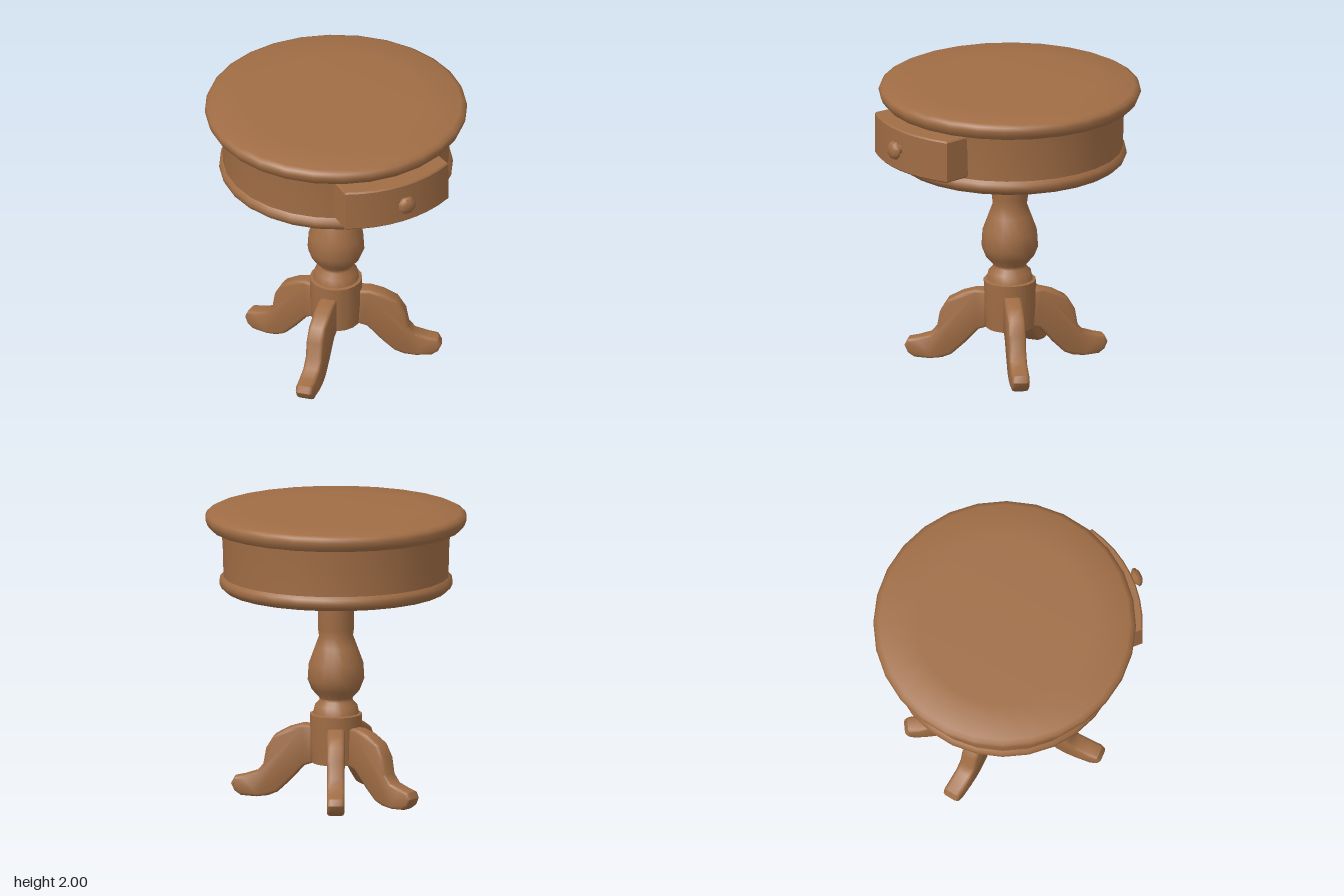
import * as THREE from 'three';
import { toCreasedNormals } from 'three/addons/utils/BufferGeometryUtils.js';

const CX = 0.008, CZ = -0.067; // axis of the table
const V = (p) => p.map(([x, y]) => new THREE.Vector2(x, y));

export function createModel() {
  const wood = new THREE.MeshStandardMaterial({ color: 0xa06d45 });
  wood.name = 'brown wood';
  const table = new THREE.Group();
  table.name = 'drumTable';
  const body = new THREE.Group();
  body.name = 'tableBody';
  body.position.set(CX, 0, CZ);
  table.add(body);

  const add = (parent, name, geometry, crease = 0.75) => {
    const mesh = new THREE.Mesh(toCreasedNormals(geometry, crease), wood);
    mesh.name = name;
    parent.add(mesh);
    return mesh;
  };
  const turned = (points, sides) =>
    new THREE.LatheGeometry(V(points), sides, Math.PI / sides);

  // Round top with a rounded lip
  add(body, 'tableTop', turned([
    [0, 1.88], [0.855, 1.88], [0.875, 1.905], [0.89, 1.945], [0.88, 1.972],
    [0.85, 1.988], [0.6, 1.994], [0, 2.0],
  ], 28));

  // Slightly hollow drum and its bottom moulding
  add(body, 'drum', turned([
    [0.767, 1.5], [0.768, 1.6], [0.772, 1.75], [0.78, 1.885],
  ], 28));
  add(body, 'drumMoulding', turned([
    [0, 1.45], [0.752, 1.45], [0.78, 1.472], [0.793, 1.5],
    [0.788, 1.53], [0.768, 1.55],
  ], 28));

  // Turned column
  add(body, 'column', turned([
    [0, 0.255], [0.165, 0.255], [0.175, 0.4], [0.178, 0.59], [0.157, 0.595],
    [0.145, 0.65], [0.115, 0.682], [0.112, 0.7], [0.165, 0.76], [0.193, 0.83],
    [0.186, 0.94], [0.142, 1.06], [0.116, 1.13], [0.123, 1.18], [0.123, 1.46],
  ], 18), 0.9);

  // Four curved legs, splayed wider at the front
  const outline = V([
    [0.15, 0.25], [0.21, 0.23], [0.31, 0.12], [0.395, 0.04], [0.46, 0.012],
    [0.54, 0], [0.65, 0.005], [0.695, 0.035], [0.718, 0.085], [0.695, 0.13],
    [0.63, 0.145], [0.54, 0.175], [0.495, 0.23], [0.475, 0.34], [0.42, 0.43],
    [0.32, 0.485], [0.23, 0.512], [0.15, 0.512],
  ]);
  const legGeometry = new THREE.ExtrudeGeometry(new THREE.Shape(outline), {
    depth: 0.07, bevelEnabled: true, bevelThickness: 0.025,
    bevelSize: 0.02, bevelOffset: -0.02, bevelSegments: 2,
  });
  legGeometry.translate(0, 0, -0.035);
  const legs = [['frontLeg', 0.925, 1], ['backLeg', Math.PI - 0.45, 0.95]];
  for (const [name, angle, reach] of legs) {
    for (const side of [1, -1]) {
      const leg = add(body, name, legGeometry, 0.8);
      leg.rotation.y = side * angle - Math.PI / 2;
      leg.scale.x = reach;
    }
  }

  // Bow-fronted drawer, pulled out a little and off centre
  const drawer = new THREE.Group();
  drawer.name = 'drawer';
  drawer.rotation.y = -0.1;
  body.add(drawer);
  const plan = [[-0.385, 0.6], [0.385, 0.6]];
  for (let i = 0; i <= 8; i++) {
    const x = 0.4 - 0.1 * i;
    plan.push([x, 0.095 + Math.sqrt(0.85 ** 2 - x * x)]);
  }
  const box = new THREE.ExtrudeGeometry(new THREE.Shape(V(plan)), {
    depth: 0.275, bevelEnabled: true, bevelThickness: 0.01,
    bevelSize: 0.01, bevelOffset: -0.01, bevelSegments: 1,
  });
  box.rotateX(Math.PI / 2);
  box.translate(0, 1.845, 0);
  add(drawer, 'drawerBox', box, 0.5);

  // Knob on the drawer front
  const knob = turned([
    [0.035, 0], [0.033, 0.025], [0.066, 0.05], [0.06, 0.07], [0.035, 0.086], [0, 0.088],
  ], 8);
  knob.rotateX(Math.PI / 2);
  add(drawer, 'knob', knob, 0.9).position.set(0, 1.718, 0.934);

  return table;
}
